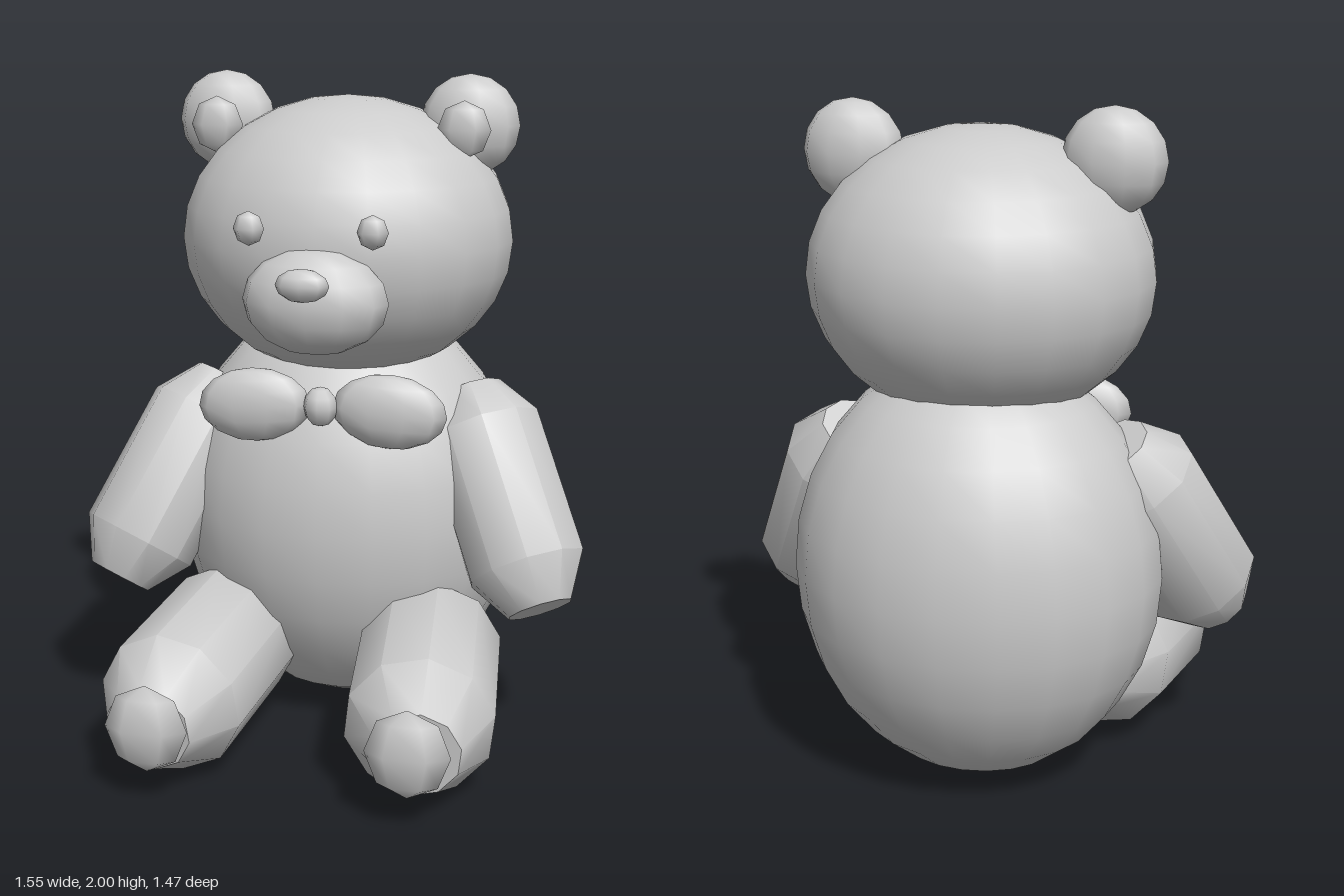
import * as THREE from 'three';
import { toCreasedNormals } from 'three/addons/utils/BufferGeometryUtils.js';

const material = new THREE.MeshStandardMaterial({ color: 0xcccccc });

export function createModel() {
  const bear = new THREE.Group();
  bear.name = 'teddyBear';

  // Ellipsoid part: centre, radii and number of sides
  function ball(name, centre, radii, sides, rings, tilt = 0) {
    const mesh = new THREE.Mesh(new THREE.SphereGeometry(1, sides, rings), material);
    mesh.name = name;
    mesh.position.set(...centre);
    mesh.scale.set(...radii);
    mesh.rotation.z = tilt;
    bear.add(mesh);
  }

  // Limb: a straight tube between two joints with bevelled, flat-tipped ends
  function limb(name, from, to, radius, tip, reach) {
    const a = new THREE.Vector3(...from), b = new THREE.Vector3(...to);
    const half = a.distanceTo(b) / 2;
    const profile = [
      [0, -half - reach], [tip, -half - reach], [radius, -half],
      [radius, half], [tip, half + reach], [0, half + reach],
    ].map(([r, y]) => new THREE.Vector2(r, y));
    const mesh = new THREE.Mesh(toCreasedNormals(new THREE.LatheGeometry(profile, 10), 0.75), material);
    mesh.name = name;
    mesh.position.copy(a).add(b).multiplyScalar(0.5);
    mesh.quaternion.setFromUnitVectors(new THREE.Vector3(0, 1, 0), b.clone().sub(a).normalize());
    bear.add(mesh);
  }

  // Trunk and head
  ball('body', [0, 0.66, -0.267], [0.545, 0.64, 0.47], 20, 14);
  ball('head', [0.01, 1.51, -0.19], [0.505, 0.425, 0.455], 20, 14);

  // Face
  ball('muzzle', [0.01, 1.385, 0.24], [0.215, 0.155, 0.13], 12, 8);
  ball('nose', [0.007, 1.455, 0.38], [0.078, 0.048, 0.042], 8, 6);

  // Paired parts
  for (const [side, s] of [['left', 1], ['right', -1]]) {
    ball(side + 'Eye', [s * 0.18, 1.59, 0.255], [0.046, 0.05, 0.04], 6, 4);
    ball(side + 'Ear', [s * 0.375, 1.85, -0.218], [0.15, 0.15, 0.094], 10, 8);
    ball(side + 'InnerEar', [s * 0.375, 1.845, -0.105], [0.08, 0.085, 0.036], 6, 4);
    limb(side + 'Arm', [s * 0.44, 0.93, -0.16], [s * 0.61, 0.56, 0.03], 0.182, 0.1, 0.13);
    limb(side + 'Leg', [s * 0.315, 0.275, 0.01], [s * 0.37, 0.22, 0.48], 0.22, 0.13, 0.155);
    ball(side + 'FootPad', [s * 0.375, 0.228, 0.688], [0.122, 0.13, 0.05], 6, 4);
    ball(side + 'BowLoop', [s * 0.205, 1.042, 0.122], [0.172, 0.112, 0.062], 10, 8, s * -0.07);
  }

  // Bow centre
  ball('bowKnot', [0, 1.05, 0.135], [0.052, 0.06, 0.05], 8, 6);

  return bear;
}
